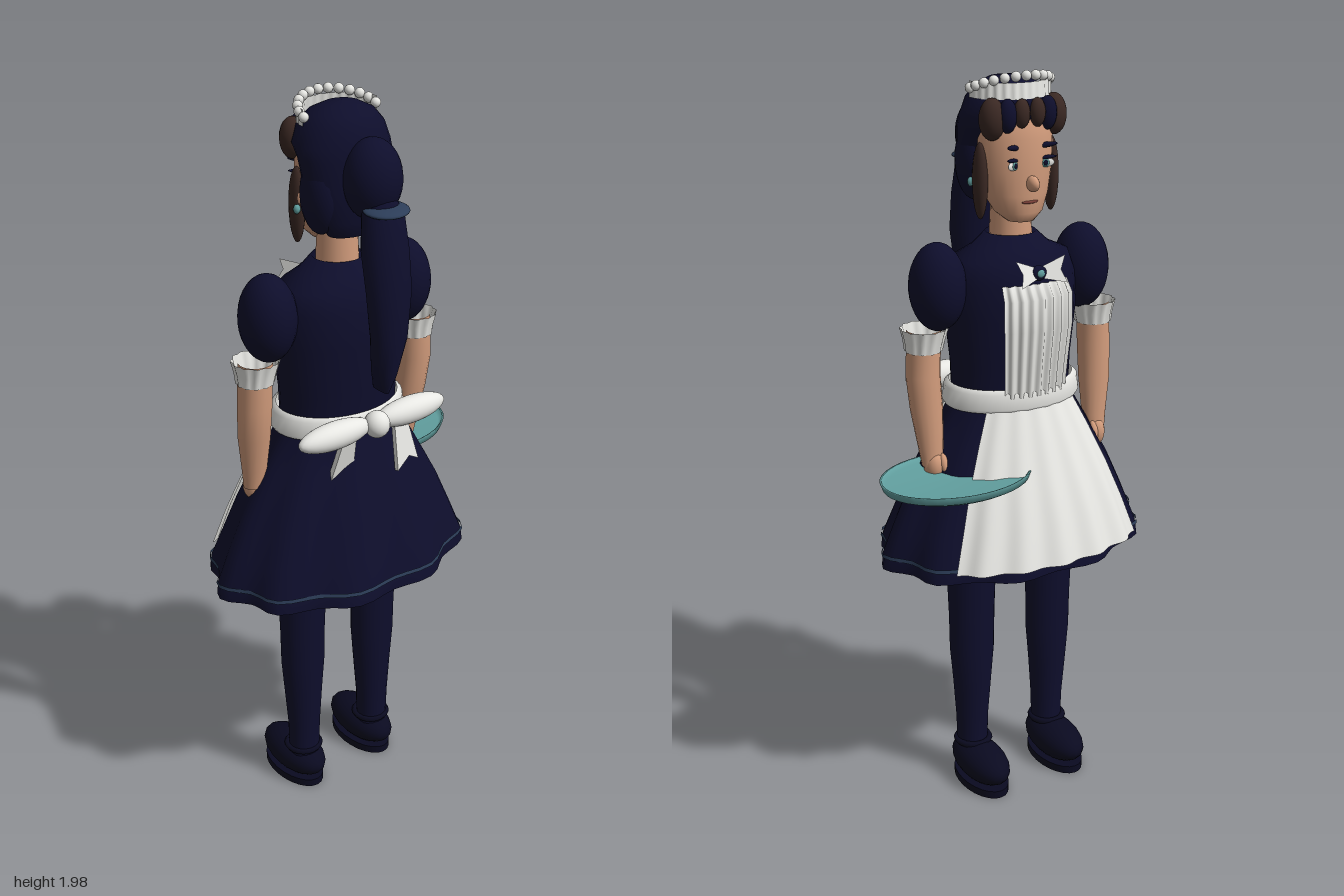
import * as THREE from 'three';

const mat = (name, color, side = THREE.FrontSide) => {
  const m = new THREE.MeshStandardMaterial({ color, side });
  m.name = name;
  return m;
};

export function createModel() {
  const D = THREE.DoubleSide;
  const navy = mat('navy cloth and hair', 0x0e0e2c, D);
  const shoeBlack = mat('shoe black', 0x0a0a20);
  const white = mat('white linen', 0xecece8, D);
  const skin = mat('skin', 0xd29c7c);
  const brown = mat('brown hair', 0x3a2823);
  const teal = mat('teal tray', 0x62a0a0);
  const slate = mat('slate trim', 0x2c3d58, D);
  const lip = mat('lip', 0x7a4038);

  const root = new THREE.Group();
  root.name = 'maid';
  const body = new THREE.Group();
  body.name = 'figure';
  body.position.x = -0.023;
  root.add(body);

  const add = (name, geo, m, x = 0, y = 0, z = 0, parent = body) => {
    const mesh = new THREE.Mesh(geo, m);
    mesh.name = name;
    mesh.position.set(x, y, z);
    parent.add(mesh);
    return mesh;
  };
  const ball = (name, m, x, y, z, rx, ry, rz, seg = 20) => {
    const mesh = add(name, new THREE.SphereGeometry(1, seg, Math.ceil(seg * 0.7)), m, x, y, z);
    mesh.scale.set(rx, ry, rz);
    return mesh;
  };

  // Skin over elliptical rings, listed bottom to top: [y, rx, rz, cz, cx]
  const loft = (rows, seg = 24, wave = () => 1, from = 0, to = Math.PI * 2) => {
    const closed = to - from > 6.28;
    const n = closed ? seg : seg + 1;
    const pos = [], idx = [];
    rows.forEach(([y, rx, rz, cz = 0, cx = 0], i) => {
      for (let j = 0; j < n; j++) {
        const t = from + ((to - from) * j) / seg;
        const w = wave(t, i / (rows.length - 1));
        pos.push(cx + rx * w * Math.cos(t), y, cz + rz * w * Math.sin(t));
      }
    });
    for (let i = 0; i < rows.length - 1; i++) {
      for (let j = 0; j < seg; j++) {
        const a = i * n + j, b = i * n + ((j + 1) % n), c = a + n, d = b + n;
        idx.push(a, c, b, b, c, d);
      }
    }
    const g = new THREE.BufferGeometry();
    g.setAttribute('position', new THREE.Float32BufferAttribute(pos, 3));
    g.setIndex(idx);
    g.computeVertexNormals();
    return g;
  };
  const FRONT = -Math.PI / 2;

  // Dress: folded skirt, hem line and bodice
  const folds = (t, v) => 1 + 0.045 * (1 - v) * Math.cos(10 * t);
  add('skirt', loft([[0.72, 0.372, 0.255, 0.015], [0.755, 0.37, 0.252, 0.015], [0.83, 0.34, 0.228, 0.015],
    [0.93, 0.295, 0.2, 0.015], [1.05, 0.227, 0.16, 0.015], [1.12, 0.185, 0.135, 0.015], [1.18, 0.165, 0.12, 0.015]], 60, folds), navy);
  add('hemLine', loft([[0.753, 0.374, 0.256, 0.015], [0.763, 0.372, 0.254, 0.015]], 60, (t) => folds(t, 0.12)), slate);
  add('bodice', loft([[1.15, 0.165, 0.12, 0.015], [1.25, 0.168, 0.125, 0.015], [1.38, 0.182, 0.136, 0.015],
    [1.47, 0.178, 0.132, 0.015], [1.525, 0.16, 0.115, 0.015], [1.55, 0.105, 0.088, 0.015],
    [1.585, 0.066, 0.064, 0.014], [1.57, 0.05, 0.05, 0.014]], 28), navy);
  add('waistband', loft([[1.14, 0.186, 0.137, 0.012], [1.15, 0.192, 0.143, 0.012], [1.19, 0.186, 0.143, 0.012],
    [1.2, 0.172, 0.13, 0.012]], 36), white);

  // Apron: pleated skirt panel and bib over the front
  const pleats = (t, v) => 1 + 0.022 * (1 - 0.6 * v) * Math.cos(22 * (t - FRONT));
  add('apronSkirt', loft([[0.755, 0.4, 0.28, 0.015], [0.86, 0.352, 0.25, 0.015], [0.96, 0.302, 0.213, 0.015],
    [1.06, 0.243, 0.176, 0.015], [1.15, 0.185, 0.14, 0.015]], 64, pleats, FRONT - 0.77, FRONT + 0.77), white);
  add('apronBib', loft([[1.18, 0.18, 0.145, 0.015], [1.26, 0.188, 0.152, 0.015], [1.36, 0.2, 0.163, 0.015],
    [1.44, 0.2, 0.162, 0.015], [1.475, 0.19, 0.138, 0.015]], 48,
  (t) => 1 + 0.03 * Math.cos(46 * (t - FRONT)), FRONT - 0.52, FRONT + 0.52), white);

  // Collar bow with brooch
  const tip = new THREE.Shape();
  tip.moveTo(0, 0.012);
  [[0.075, 0.035], [0.058, 0], [0.07, -0.035], [0, -0.012]].forEach(([x, y]) => tip.lineTo(x, y));
  for (const s of [-1, 1]) {
    const wing = add('collarBow', new THREE.ShapeGeometry(tip), white, 0, 1.503, -0.125);
    wing.scale.x = s;
    wing.rotation.set(0.35, s * 0.3, 0);
  }
  ball('brooch', navy, 0, 1.502, -0.122, 0.024, 0.02, 0.016, 14);
  ball('broochGem', teal, 0, 1.504, -0.136, 0.011, 0.01, 0.005, 12);

  // Back bow: knot, loops and tails
  ball('bowKnot', white, 0, 1.175, 0.178, 0.034, 0.036, 0.034);
  const tail = new THREE.Shape();
  [[-0.022, 0], [0.022, 0], [0.04, -0.105], [0.012, -0.09], [-0.03, -0.12]].forEach(([x, y], i) =>
    i ? tail.lineTo(x, y) : tail.moveTo(x, y));
  const tailGeo = new THREE.ExtrudeGeometry(tail, { depth: 0.014, bevelEnabled: false });
  for (const s of [-1, 1]) {
    ball('bowLoop', white, s * 0.122, 1.175, 0.163, 0.112, 0.036, 0.036, 24);
    const t = add('bowTail', tailGeo, white, s * 0.085, 1.145, 0.16);
    t.rotation.set(-0.22, s > 0 ? 0 : Math.PI, 0);
    if (s < 0) { t.rotation.x = 0.22; t.position.z += 0.014; }
  }

  for (const s of [-1, 1]) {
    // Stockinged leg and round shoe
    const x = s * 0.123;
    add('leg', loft([[0.09, 0.043, 0.042, 0.016, x], [0.2, 0.046, 0.043, 0.016, x], [0.32, 0.055, 0.05, 0.014, x],
      [0.42, 0.064, 0.054, 0.014, x], [0.52, 0.065, 0.056, 0.014, x], [0.7, 0.071, 0.064, 0.014, x],
      [0.95, 0.076, 0.07, 0.014, x]], 18), navy);
    ball('shoe', shoeBlack, x, 0.075, -0.032, 0.064, 0.054, 0.122);
    const sole = add('sole', new THREE.CylinderGeometry(1, 1, 0.022, 24), shoeBlack, x, 0.021, -0.034);
    sole.scale.set(0.062, 1, 0.112);
    const strap = add('shoeStrap', new THREE.TorusGeometry(0.046, 0.009, 6, 20), shoeBlack, x, 0.125, 0.012);
    strap.rotation.x = Math.PI / 2;

    // Puff sleeve, ruffled cuff, forearm and hand
    ball('puffSleeve', navy, s * 0.214, 1.465, 0.012, 0.073, 0.114, 0.078, 24);
    add('sleeveCuff', loft([[1.305, 0.047, 0.047, 0.013, s * 0.257], [1.335, 0.052, 0.052, 0.013, s * 0.255],
      [1.365, 0.06, 0.06, 0.013, s * 0.254]], 48, (t) => 1 + 0.05 * Math.cos(12 * t)), white);
    add('forearm', loft([[1.0, 0.027, 0.026, -0.014, s * 0.252], [1.05, 0.034, 0.03, -0.008, s * 0.252],
      [1.15, 0.043, 0.041, 0.002, s * 0.257], [1.24, 0.045, 0.045, 0.012, s * 0.26],
      [1.36, 0.044, 0.044, 0.013, s * 0.255]], 16), skin);
    ball('hand', skin, s * 0.25, 1.0, -0.02, 0.026, 0.043, 0.03, 14);
    const thumb = ball('thumb', skin, s * 0.232, 1.01, -0.042, 0.011, 0.027, 0.011, 10);
    thumb.rotation.x = 0.4;
  }

  // Oval serving tray with a raised rim
  const tray = add('tray', new THREE.LatheGeometry([[0, 0.971], [0.86, 0.971], [0.96, 0.98], [1, 1.0],
    [0.97, 1.0], [0.92, 0.988], [0, 0.986]].map(([r, y]) => new THREE.Vector2(r, y)), 40), teal, 0.203, 0, -0.098, root);
  tray.scale.set(0.207, 1, 0.153);

  // Neck and head
  add('neck', new THREE.CylinderGeometry(0.05, 0.057, 0.16, 18), skin, 0, 1.61, 0.014);
  add('head', loft([[1.617, 0, 0, -0.035], [1.622, 0.035, 0.035, -0.035], [1.645, 0.063, 0.058, -0.024],
    [1.69, 0.085, 0.078, -0.008], [1.75, 0.098, 0.087, 0], [1.83, 0.102, 0.09, 0.002], [1.9, 0.09, 0.08, 0.01],
    [1.94, 0.05, 0.05, 0.02], [1.95, 0, 0, 0.02]], 28), skin);
  ball('nose', skin, 0, 1.722, -0.094, 0.015, 0.02, 0.024, 12);
  const mouth = ball('mouth', lip, 0, 1.675, -0.081, 0.024, 0.005, 0.006, 12);
  mouth.rotation.x = -0.2;

  // Eyes, brows, ears, earrings and side locks
  for (const s of [-1, 1]) {
    const turn = (mesh, tilt = 0) => mesh.rotation.set(0, s * -0.45 * -1, s * tilt);
    turn(ball('eyeWhite', white, s * 0.045, 1.768, -0.077, 0.024, 0.012, 0.005, 14));
    turn(ball('iris', teal, s * 0.043, 1.768, -0.081, 0.011, 0.011, 0.004, 12));
    turn(ball('pupil', navy, s * 0.043, 1.768, -0.084, 0.006, 0.007, 0.003, 10));
    turn(ball('lashes', navy, s * 0.046, 1.781, -0.079, 0.028, 0.005, 0.007, 12), 0.1);
    turn(ball('eyebrow', navy, s * 0.045, 1.812, -0.08, 0.03, 0.007, 0.007, 12), 0.12);
    ball('ear', skin, s * 0.1, 1.745, -0.002, 0.016, 0.03, 0.02, 12);
    ball('earring', teal, s * 0.118, 1.722, 0.008, 0.009, 0.012, 0.009, 10);
    ball('sideHair', navy, s * 0.082, 1.765, 0.055, 0.046, 0.1, 0.058);
    ball('sideLock', brown, s * 0.103, 1.725, -0.012, 0.018, 0.096, 0.025, 16);
    ball('templeLock', brown, s * 0.088, 1.88, -0.046, 0.033, 0.052, 0.034, 16);
    ball('fringeOuter', navy, s * 0.057, 1.888, -0.068, 0.024, 0.042, 0.022, 14);
    ball('fringeInner', brown, s * 0.022, 1.893, -0.077, 0.021, 0.036, 0.02, 14);
  }

  // Hair cap, open below for the face
  add('hairCap', loft([[1.66, 0.07, 0.04, 0.075], [1.7, 0.1, 0.062, 0.072], [1.78, 0.122, 0.078, 0.06],
    [1.85, 0.127, 0.09, 0.046], [1.88, 0.125, 0.108, 0.028], [1.92, 0.11, 0.1, 0.026], [1.95, 0.083, 0.076, 0.03],
    [1.968, 0.045, 0.04, 0.032], [1.973, 0, 0, 0.032]], 32), navy);

  // Ponytail
  ball('hairBun', navy, 0, 1.81, 0.15, 0.074, 0.1, 0.072, 24);
  const tie = ball('hairTie', slate, 0, 1.748, 0.203, 0.06, 0.013, 0.052);
  tie.rotation.x = 0.08;
  add('ponytail', loft([[1.29, 0.006, 0.03, 0.215, -0.02], [1.34, 0.028, 0.038, 0.22, -0.014], [1.43, 0.048, 0.042, 0.225, -0.005],
    [1.55, 0.062, 0.046, 0.217], [1.65, 0.064, 0.05, 0.2], [1.74, 0.055, 0.045, 0.19], [1.78, 0.03, 0.03, 0.18]], 18), navy);

  // Frilled headband with beads, rising toward the front
  add('headband', loft([[1.925, 0.108, 0.098, 0.026], [1.965, 0.108, 0.092, 0.026]], 60,
    (t) => 1 + 0.02 * Math.cos(30 * t), Math.PI, Math.PI * 2), white);
  for (let i = 0; i < 13; i++) {
    const t = Math.PI + (Math.PI * i) / 12;
    ball('headbandBead', white, 0.108 * Math.cos(t), 1.948 - 0.032 * Math.sin(t), 0.026 + 0.087 * Math.sin(t),
      0.013, 0.013, 0.013, 10);
  }
  return root;
}
